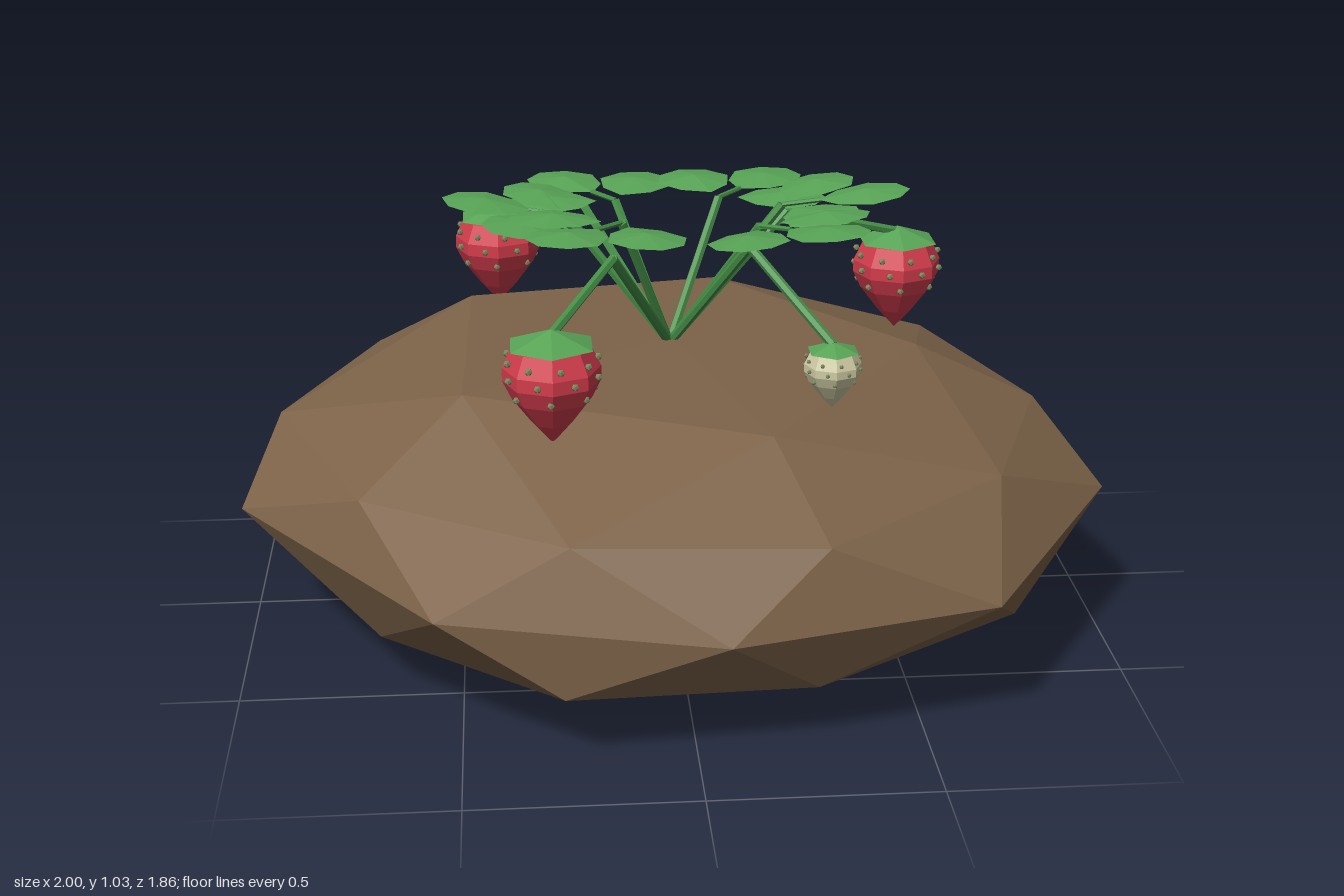
import * as THREE from 'three';
import { mergeGeometries } from 'three/addons/utils/BufferGeometryUtils.js';
import { ConvexGeometry } from 'three/addons/geometries/ConvexGeometry.js';

const V = (x, y, z) => new THREE.Vector3(x, y, z);
const polar = (deg, r, y) => {
  const a = THREE.MathUtils.degToRad(deg);
  return V(r * Math.cos(a), y, r * Math.sin(a));
};

function material(name, color, extra = {}) {
  const m = new THREE.MeshStandardMaterial({ color, flatShading: true, ...extra });
  m.name = name;
  return m;
}

function mesh(name, geometry, mat) {
  const m = new THREE.Mesh(geometry, mat);
  m.name = name;
  return m;
}

// Straight round rod between two points
function rod(a, b, r) {
  const d = b.clone().sub(a);
  const g = new THREE.CylinderGeometry(r, r, d.length(), 6);
  g.applyQuaternion(new THREE.Quaternion().setFromUnitVectors(V(0, 1, 0), d.normalize()));
  const c = a.clone().add(b).multiplyScalar(0.5);
  return g.translate(c.x, c.y, c.z);
}

// Faceted earth mound: poles, rings of five and ten, and an uneven rim
function moundGeometry() {
  const pts = [V(0, 0.66, 0), V(-0.03, 0, -0.04)];
  const topR = [0.59, 0.59, 0.6, 0.58, 0.5];
  const topY = [0.625, 0.625, 0.66, 0.66, 0.65];
  for (let i = 0; i < 5; i++) {
    pts.push(polar(i * 72, topR[i], topY[i]));
    pts.push(polar(36 + i * 72, 0.54, 0.05));
  }
  // shoulder above and below the rim
  for (let i = 0; i < 10; i++) {
    const even = i % 2 === 0;
    pts.push(polar(i * 36, even ? 0.88 : i === 5 ? 0.92 : 0.86, even ? 0.485 : 0.495));
    pts.push(polar(i * 36, i === 5 ? 0.95 : even ? 0.84 : 0.91, even ? 0.145 : 0.17));
  }
  // rim: x, y, z
  const rim = [
    [1, 0.345, 0.24], [0.64, 0.325, 0.81], [0.06, 0.31, 0.93], [-0.55, 0.345, 0.84],
    [-1, 0.345, 0.22], [-0.91, 0.35, -0.29], [-0.57, 0.34, -0.83], [-0.04, 0.345, -0.93],
    [0.53, 0.35, -0.84], [0.9, 0.365, -0.3],
  ];
  rim.forEach((p) => pts.push(V(...p)));
  return new ConvexGeometry(pts);
}

// Rounded leaflet along +x from its base, domed slightly at the centre
function leafletGeometry() {
  const half = [[0.045, 0.06], [0.12, 0.092], [0.185, 0.06]];
  const loop = [[0, 0], ...half, [0.212, 0], ...half.map(([x, z]) => [x, -z]).reverse()];
  const pos = [];
  loop.forEach(([x, z], i) => {
    const [x2, z2] = loop[(i + 1) % loop.length];
    pos.push(0.11, 0.014, 0, x, 0, z, x2, 0, z2);
  });
  const g = new THREE.BufferGeometry();
  g.setAttribute('position', new THREE.Float32BufferAttribute(pos, 3));
  g.computeVertexNormals();
  return g;
}

// Three leaflets around the end of a stem
function leafGeometry(deg, r, y, slope) {
  const parts = [[0, 0.085], [57, 0.045], [-57, 0.045]].map(([turn, offset]) =>
    leafletGeometry().translate(offset, 0, 0).rotateY(-THREE.MathUtils.degToRad(turn)));
  const p = polar(deg, r, y);
  return mergeGeometries(parts)
    .rotateZ(slope)
    .rotateY(-THREE.MathUtils.degToRad(deg))
    .translate(p.x, p.y, p.z);
}

// Berry profile, hanging down from its top at y = 0
const PROFILE = [[0, -0.245], [0.045, -0.195], [0.087, -0.14], [0.106, -0.1], [0.106, -0.07], [0.085, -0.025], [0, -0.005]];

function berry(name, skin, seedMat, capMat, size) {
  const group = new THREE.Group();
  group.name = name;
  const pts = PROFILE.map(([x, y]) => new THREE.Vector2(x, y));
  group.add(mesh('berryFlesh', new THREE.LatheGeometry(pts, 8), skin));

  // seeds in staggered rows
  const seeds = [];
  [[0.1, -0.05], [0.104, -0.085], [0.094, -0.125]].forEach(([r, y], row) => {
    const n = 9 - row;
    for (let i = 0; i < n; i++) {
      const p = polar((i + row * 0.4) * 360 / n, r, y);
      seeds.push(new THREE.IcosahedronGeometry(0.0085, 0).translate(p.x, p.y, p.z));
    }
  });
  group.add(mesh('seeds', mergeGeometries(seeds), seedMat));

  // six-sided leafy cap
  const cap = new THREE.ConeGeometry(0.1, 0.035, 6);
  cap.translate(0, -0.004, 0);
  group.add(mesh('cap', cap, capMat));
  group.scale.setScalar(size);
  return group;
}

export function createModel() {
  const soil = material('soil brown', 0x7d6349);
  const leafGreen = material('leaf green', 0x58a456, { side: THREE.DoubleSide });
  const stemGreen = material('stem green', 0x458f47);
  const red = material('ripe red', 0xd23c4c);
  const cream = material('unripe cream', 0xcfcba4);
  const seedMat = material('seed olive', 0x75855c);

  const model = new THREE.Group();
  model.name = 'strawberryPlant';
  model.add(mesh('soilMound', moundGeometry(), soil));

  const crown = V(0, 0.645, 0);

  // leaves: angle, reach, height, upward tilt
  [
    [190, 0.24, 0.95, 0.12], [234, 0.2, 0.95, 0.02], [310, 0.2, 0.955, 0.02],
    [5, 0.26, 0.985, 0.13], [48, 0.28, 0.99, 0.12], [130, 0.185, 0.985, 0.06],
  ].forEach(([deg, r, y, slope]) => {
    const leaf = new THREE.Group();
    leaf.name = 'leaf';
    leaf.add(mesh('leafStem', rod(crown, polar(deg, r, y), 0.011), stemGreen));
    // short stalk carrying the end leaflet
    const stalkEnd = polar(deg, r + 0.09, y + 0.09 * slope);
    leaf.add(mesh('leafletStalk', rod(polar(deg, r, y), stalkEnd, 0.006), stemGreen));
    leaf.add(mesh('leaflets', leafGeometry(deg, r, y, slope), leafGreen));
    model.add(leaf);
  });

  // fruit: x, top height, z, bend height, size
  [
    [0.57, 0.85, -0.19, 0.935, 1], [-0.4, 0.85, -0.46, 0.935, 1],
    [-0.29, 0.85, 0.51, 0.935, 1], [0.33, 0.772, 0.4, 0.94, 0.6],
  ].forEach(([x, y, z, bendY, size]) => {
    const ripe = size === 1;
    const bend = V(x * 0.5, bendY, z * 0.5);
    const stem = mergeGeometries([rod(crown, bend, 0.011), rod(bend, V(x, y, z), 0.011)]);
    model.add(mesh('fruitStem', stem, stemGreen));
    const fruit = berry(ripe ? 'ripeBerry' : 'unripeBerry', ripe ? red : cream, seedMat, leafGreen, size);
    fruit.position.set(x, y, z);
    model.add(fruit);
  });

  return model;
}
